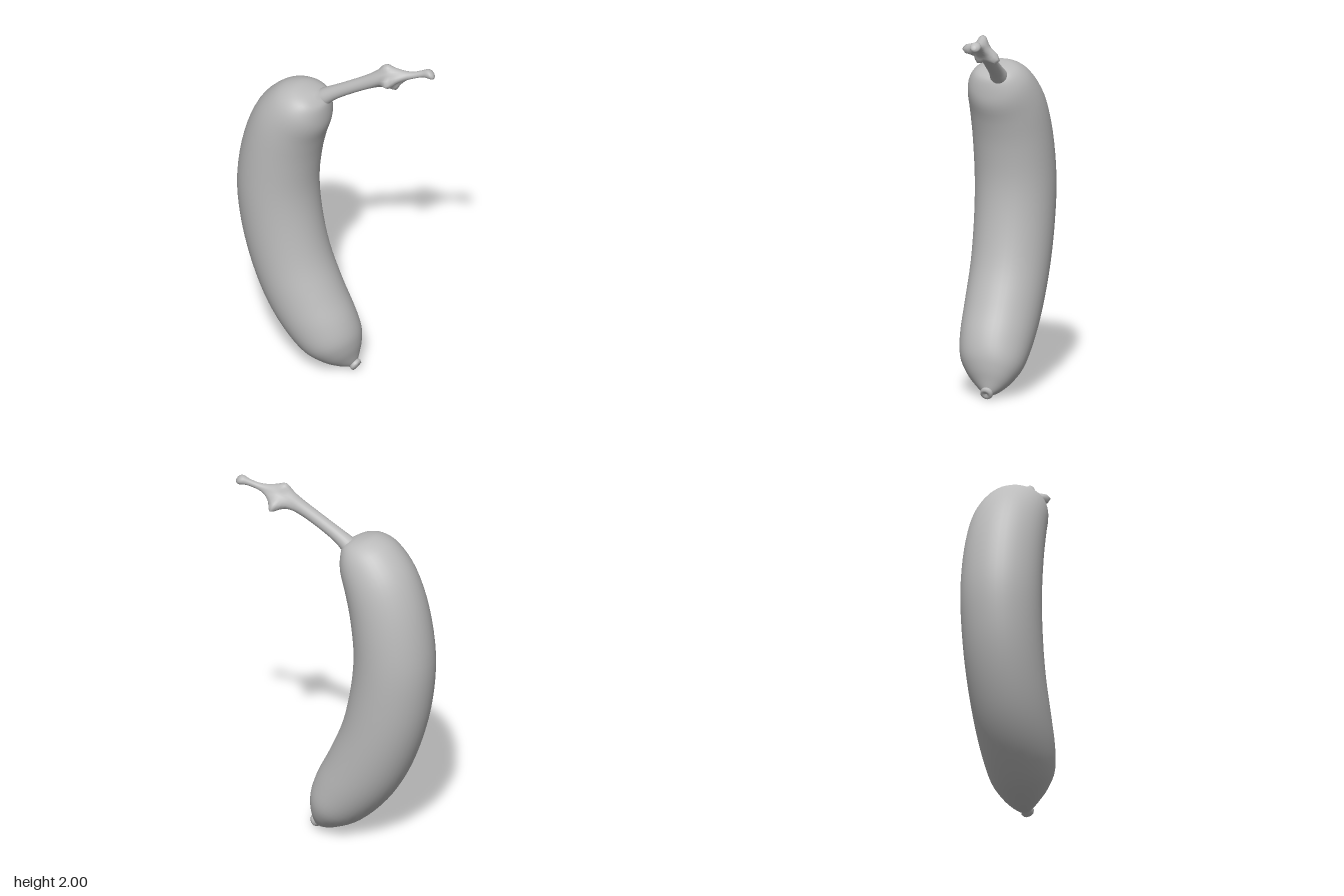
import * as THREE from 'three';

const V = (x, y, z) => new THREE.Vector3(x, y, z);

// Closed skin over a list of rings (arrays of points, counter-clockwise about the direction of travel)
function loft(rings) {
  const n = rings[0].length, m = rings.length;
  const pos = [], idx = [];
  rings.forEach(r => r.forEach(p => pos.push(p.x, p.y, p.z)));
  for (let i = 0; i < m - 1; i++) {
    for (let j = 0; j < n; j++) {
      const a = i * n + j, b = i * n + (j + 1) % n;
      idx.push(a, b, a + n, b, b + n, a + n);
    }
  }
  // Fans that close both ends
  [rings[0], rings[m - 1]].forEach((r, end) => {
    const c = r.reduce((s, p) => s.add(p), V(0, 0, 0)).divideScalar(n);
    const k = pos.length / 3, o = end ? (m - 1) * n : 0;
    pos.push(c.x, c.y, c.z);
    for (let j = 0; j < n; j++) {
      const a = o + j, b = o + (j + 1) % n;
      end ? idx.push(k, a, b) : idx.push(k, b, a);
    }
  });
  const g = new THREE.BufferGeometry();
  g.setAttribute('position', new THREE.Float32BufferAttribute(pos, 3));
  g.setIndex(idx);
  g.computeVertexNormals();
  return g;
}

// Smoothly resample rows of numbers
function resample(rows, steps) {
  const at = i => rows[Math.min(Math.max(i, 0), rows.length - 1)];
  const out = [];
  for (let i = 0; i < rows.length - 1; i++) {
    for (let s = 0; s < steps; s++) {
      const t = s / steps;
      out.push(rows[i].map((p1, k) => {
        const p0 = at(i - 1)[k], p2 = at(i + 1)[k], p3 = at(i + 2)[k];
        return p1 + 0.5 * t * (p2 - p0 + t * (2 * p0 - 5 * p1 + 4 * p2 - p3 + t * (3 * (p1 - p2) + p3 - p0)));
      }));
    }
  }
  out.push(at(rows.length - 1));
  return out;
}

// Curved fruit: outer edge x, y; inner edge x, y; half depth; centre z
function bodyGeometry() {
  const sections = [
    [-0.075, 1.73, -0.04, 1.70, 0.025, 0.0],
    [-0.13, 1.748, -0.02, 1.67, 0.095, 0.01],
    [-0.21, 1.755, -0.013, 1.60, 0.145, 0.012],
    [-0.31, 1.71, -0.02, 1.53, 0.178, 0.01],
    [-0.42, 1.58, -0.055, 1.43, 0.2, 0.005],
    [-0.5, 1.37, -0.088, 1.29, 0.21, 0.003],
    [-0.542, 1.1, -0.107, 1.1, 0.213, 0.002],
    [-0.525, 0.85, -0.09, 0.9, 0.21, 0],
    [-0.47, 0.62, -0.04, 0.68, 0.206, -0.003],
    [-0.38, 0.4, 0.04, 0.49, 0.202, -0.006],
    [-0.27, 0.23, 0.11, 0.35, 0.193, -0.012],
    [-0.14, 0.1, 0.143, 0.25, 0.172, -0.022],
    [-0.03, 0.04, 0.147, 0.17, 0.125, -0.035],
    [0.05, 0.015, 0.138, 0.1, 0.07, -0.048],
    [0.1, 0.012, 0.132, 0.055, 0.028, -0.055],
  ];
  return loft(resample(sections, 4).map(([ox, oy, ix, iy, d, z]) =>
    Array.from({ length: 40 }, (_, j) => {
      const t = j / 40 * Math.PI * 2, c = Math.cos(t) / 2;
      return V((ox + ix) / 2 + (ix - ox) * c, (oy + iy) / 2 + (iy - oy) * c, z + d * Math.sin(t));
    })));
}

// Stalk with a knuckle of pointed lobes: x, y, z, radius, lobe strength
function stalkGeometry() {
  const rows = resample([
    [-0.1, 1.665, -0.025, 0.042, 0],
    [-0.06, 1.69, -0.035, 0.047, 0],
    [0.0, 1.737, -0.046, 0.038, 0],
    [0.1, 1.803, -0.066, 0.035, 0],
    [0.2, 1.865, -0.09, 0.038, 0],
    [0.26, 1.9, -0.106, 0.043, 0.25],
    [0.31, 1.922, -0.12, 0.043, 1],
    [0.345, 1.934, -0.13, 0.038, 0.35],
    [0.385, 1.945, -0.143, 0.026, 0.05],
    [0.43, 1.957, -0.158, 0.018, 0],
    [0.475, 1.973, -0.176, 0.019, 0],
    [0.505, 1.979, -0.184, 0.027, 0],
    [0.525, 1.981, -0.185, 0.025, 0],
    [0.538, 1.981, -0.185, 0.01, 0],
  ], 3);
  const lobes = [[0, 0.062], [80, 0.035], [145, 0.075], [270, 0.035]];
  const axis = V(0.86, 0.42, -0.25).normalize();
  const u = V(0.28, 0, 0.96).normalize();
  u.addScaledVector(axis, -u.dot(axis)).normalize();
  const v = axis.clone().cross(u);
  return loft(rows.map(([x, y, z, r, k]) =>
    Array.from({ length: 24 }, (_, j) => {
      const t = j / 24 * Math.PI * 2;
      let rad = r;
      for (const [deg, h] of lobes) {
        rad += k * h * Math.max(0, Math.cos(t - THREE.MathUtils.degToRad(deg))) ** 8;
      }
      return V(x, y, z).addScaledVector(u, rad * Math.cos(t)).addScaledVector(v, rad * Math.sin(t));
    })));
}

export function createModel() {
  const group = new THREE.Group();
  group.name = 'curvedFruit';
  const grey = new THREE.MeshStandardMaterial({ color: 0xbbbbbb });
  grey.name = 'plain grey';

  const add = (name, geometry) => {
    const mesh = new THREE.Mesh(geometry, grey);
    mesh.name = name;
    group.add(mesh);
    return mesh;
  };

  add('body', bodyGeometry());
  add('stalk', stalkGeometry());

  // Small blossom nub with a dimpled end
  const profile = [[0.028, -0.04], [0.03, 0], [0.035, 0.02], [0.03, 0.032], [0.016, 0.03], [0, 0.022]];
  const nub = add('blossomNub', new THREE.LatheGeometry(profile.map(p => new THREE.Vector2(...p)), 14));
  nub.position.set(0.112, 0.042, -0.055);
  nub.quaternion.setFromUnitVectors(V(0, 1, 0), V(0.7, -0.4, 0).normalize());
  return group;
}
